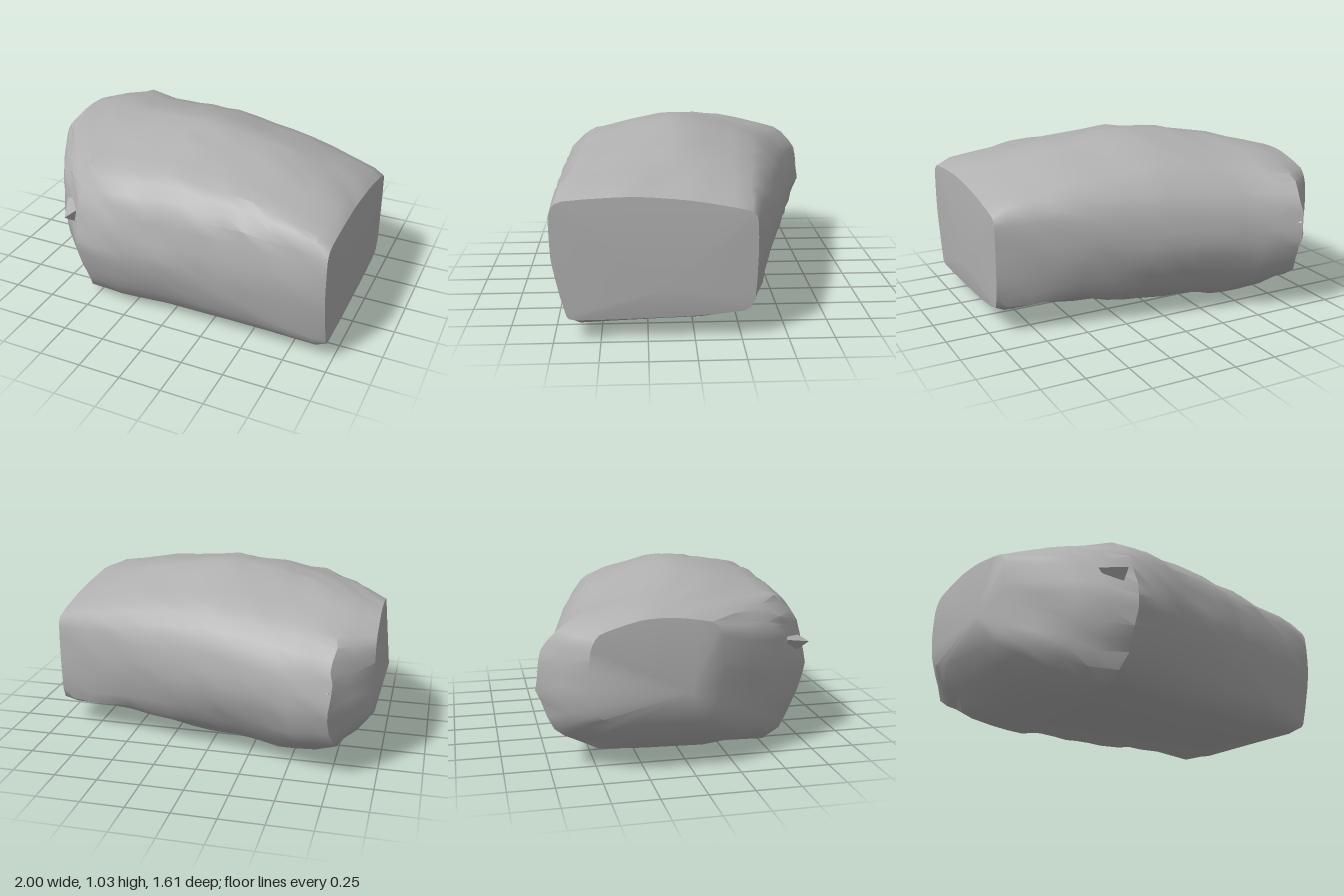
import * as THREE from 'three';
import { toCreasedNormals } from 'three/addons/utils/BufferGeometryUtils.js';

const stone = new THREE.MeshStandardMaterial({ color: 0xb0b0b0 });
stone.name = 'stone grey';

// Unit outlines [depth, height], going up the front, over the top and down the back
const roundOutline = [
  [.84, 0], [.96, .23], [1, .46], [.96, .73], [.86, .89], [.62, .98],
  [.45, 1], [.15, .87], [.03, .69], [0, .45], [.07, .19], [.23, .02],
];
const boxyOutline = [
  [.88, 0], [.94, .07], [1, .5], [1, .88], [.94, .97], [.6, 1],
  [.31, .96], [.03, .87], [0, .75], [0, .42], [.03, .08], [.31, .02],
];

// Cross-sections: x, back z, front z, bottom, top, boxiness
const sections = [
  [-.955, -.56, .16, .29, .87, .55],
  [-.75, -.81, .53, .1, .92, .25],
  [-.52, -.74, .77, .01, .965, .05],
  [-.3, -.69, .8, .02, 1, 0],
  [0, -.62, .78, .03, 1.03, 0],
  [.5, -.49, .77, .06, .96, .3],
  [.9, -.36, .76, .09, .84, .8],
  [.97, -.33, .75, .12, .79, 1],
];

// Small seeded random in -1..1
let seed = 7;
const rand = () => {
  seed = (seed * 16807) % 2147483647;
  return (seed / 2147483647) * 2 - 1;
};

const { lerp } = THREE.MathUtils;
const AROUND = 36;

// One smooth closed ring of points for a cross-section
function sectionRing([x, back, front, bottom, top, boxiness]) {
  const points = roundOutline.map(([u, v], i) => {
    const [boxU, boxV] = boxyOutline[i];
    return new THREE.Vector3(x, lerp(bottom, top, lerp(v, boxV, boxiness)), lerp(back, front, lerp(u, boxU, boxiness)));
  });
  return new THREE.CatmullRomCurve3(points, true, 'catmullrom', 0.3).getPoints(AROUND).slice(0, AROUND);
}

function bodyGeometry() {
  // Rings, with extra ones between distant sections
  const rings = [];
  for (const section of sections) {
    const ring = sectionRing(section);
    const previous = rings.at(-1);
    const steps = previous ? Math.max(1, Math.round((ring[0].x - previous[0].x) / 0.12)) : 1;
    for (let k = 1; k < steps; k++) {
      rings.push(previous.map((v, j) => v.clone().lerp(ring[j], k / steps)));
    }
    rings.push(ring);
  }

  // Slight chipping of the surface
  const positions = [];
  rings.forEach((ring, i) => {
    const chip = i > 0 && i < rings.length - 1 ? 0.008 : 0;
    for (const v of ring) {
      const shift = chip * rand();
      positions.push(v.x + 2 * chip * rand(), Math.max(0, v.y + shift), v.z + shift);
    }
  });

  // Skin between neighbouring rings
  const index = [];
  for (let i = 0; i < rings.length - 1; i++) {
    for (let j = 0; j < AROUND; j++) {
      const k = (j + 1) % AROUND;
      const a = i * AROUND + j, b = a + AROUND, c = i * AROUND + k, d = c + AROUND;
      index.push(a, b, c, b, d, c);
    }
  }

  // Close both ends with a shallow point
  const lastRing = (rings.length - 1) * AROUND;
  const leftTip = positions.length / 3;
  positions.push(-1, 0.47, -0.03, 1, 0.3, 0.15);
  for (let j = 0; j < AROUND; j++) {
    const k = (j + 1) % AROUND;
    index.push(leftTip, j, k, leftTip + 1, lastRing + k, lastRing + j);
  }

  const geometry = new THREE.BufferGeometry();
  geometry.setAttribute('position', new THREE.Float32BufferAttribute(positions, 3));
  geometry.setIndex(index);
  return toCreasedNormals(geometry, 0.7);
}

// Jagged three-sided flake sunk into the surface, its tip facing along a direction
function flake(name, position, direction, radius, height) {
  const mesh = new THREE.Mesh(toCreasedNormals(new THREE.ConeGeometry(radius, height, 3), 0.3), stone);
  mesh.name = name;
  mesh.position.set(...position);
  mesh.quaternion.setFromUnitVectors(new THREE.Vector3(0, 1, 0), new THREE.Vector3(...direction).normalize());
  return mesh;
}

export function createModel() {
  const group = new THREE.Group();
  group.name = 'boulder';

  const body = new THREE.Mesh(bodyGeometry(), stone);
  body.name = 'boulderBody';
  group.add(body);

  group.add(flake('frontFlake', [-0.58, 0.6, 0.7], [-0.2, 0, 1], 0.11, 0.14));
  group.add(flake('backFlake', [-0.73, 0.56, -0.76], [-0.2, 0, -1], 0.08, 0.1));
  return group;
}
